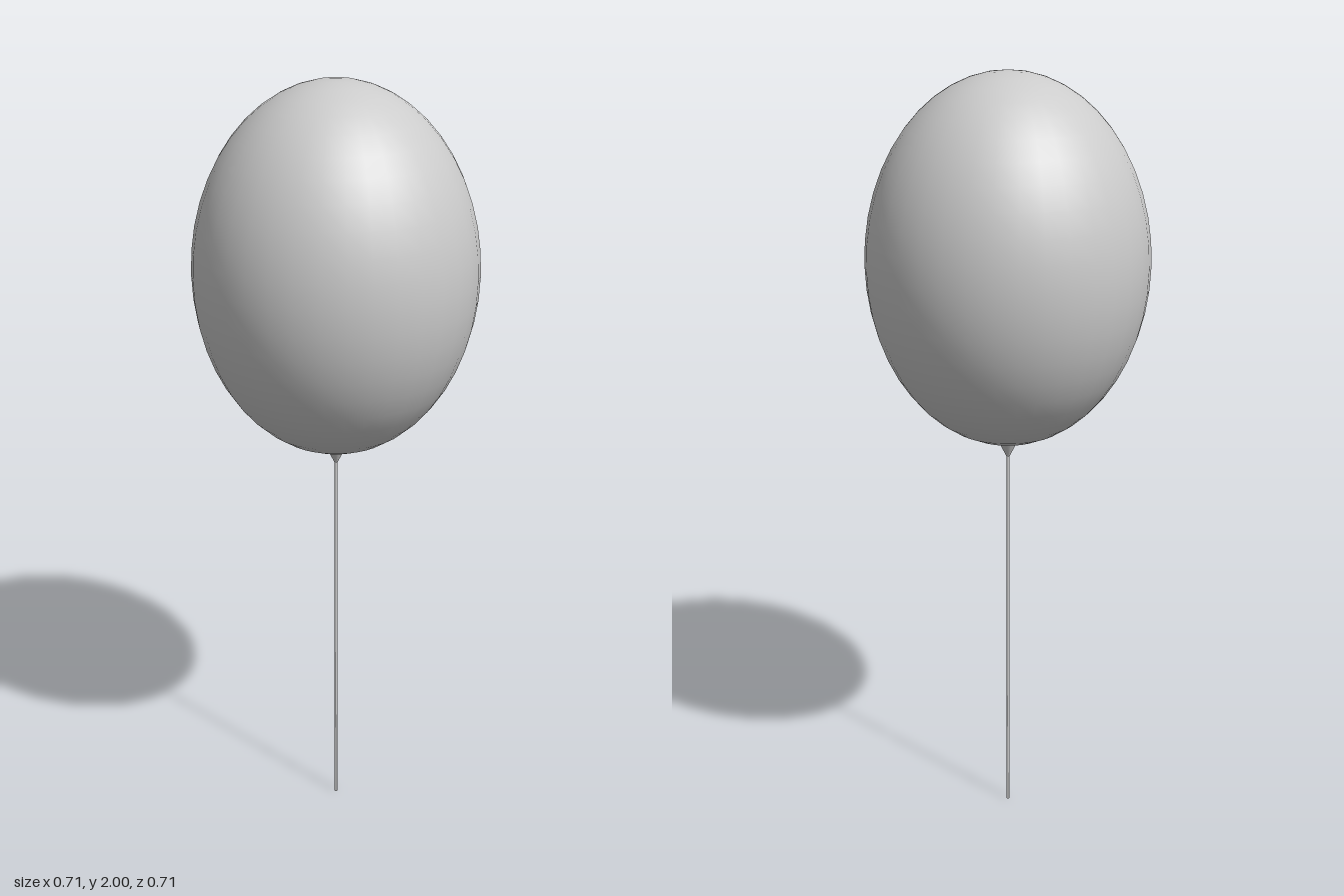
import * as THREE from 'three';

export function createModel() {
  const model = new THREE.Group();
  const material = new THREE.MeshStandardMaterial({ color: 0xcccccc });

  const add = (name, geometry, y) => {
    const mesh = new THREE.Mesh(geometry, material);
    mesh.name = name;
    mesh.position.y = y;
    model.add(mesh);
    return mesh;
  };

  // Egg-shaped balloon body
  const body = new THREE.SphereGeometry(1, 36, 24).scale(0.355, 0.464, 0.355);
  add('balloon', body, 1.536);

  // Knot: small cone pointing down, its wide end tucked into the balloon
  const knot = new THREE.ConeGeometry(0.03, 0.06, 16).rotateX(Math.PI);
  add('knot', knot, 1.05);

  // Straight string hanging to the ground
  add('string', new THREE.CylinderGeometry(0.004, 0.004, 1.04, 8), 0.52);

  return model;
}
